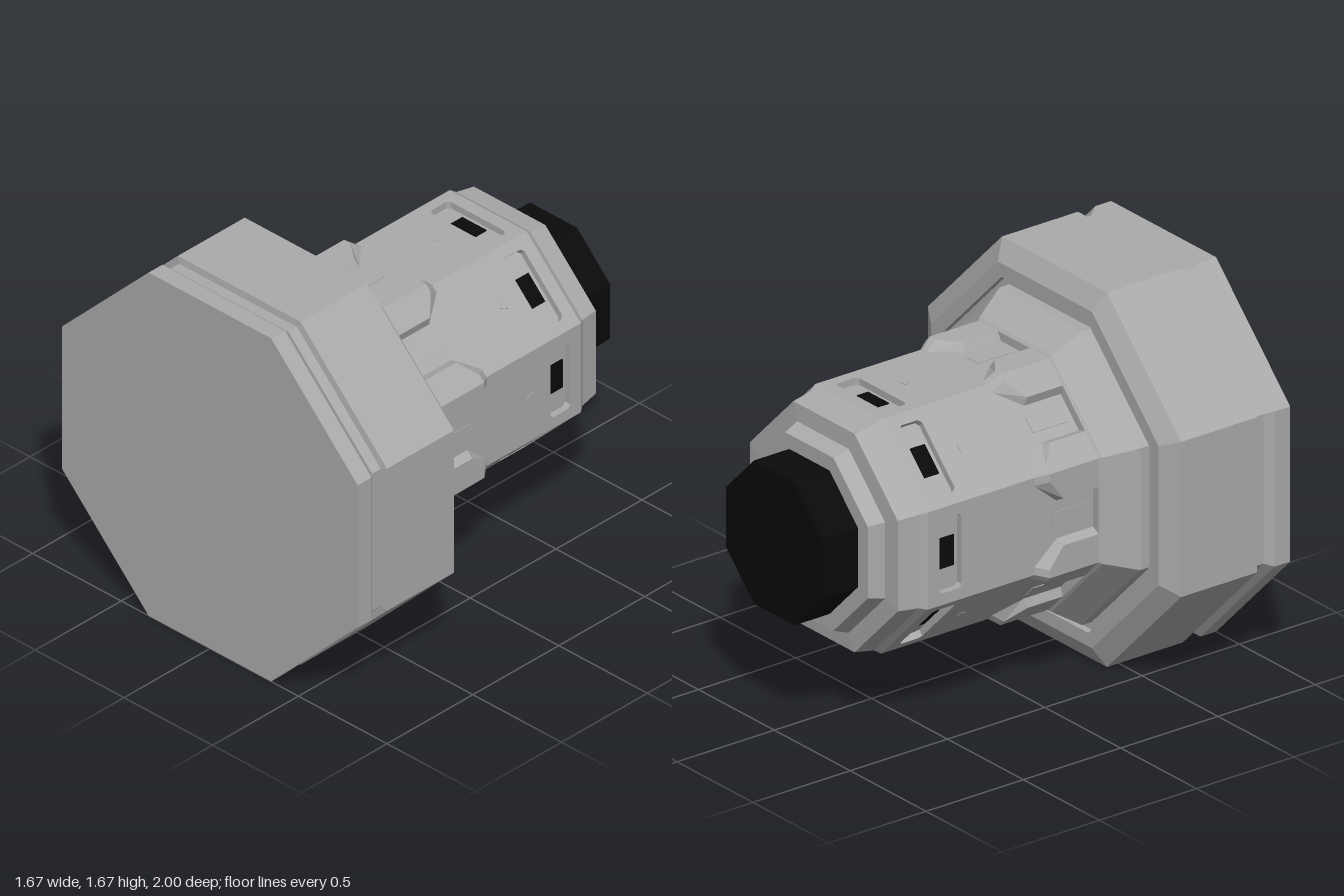
import * as THREE from 'three';

const T = Math.tan(Math.PI / 8);

// Eight-sided flat-faced solid along z from [apothem, z] pairs, low z to high z
function octagonSolid(profile) {
  const pts = profile.map(([a, z]) => new THREE.Vector2(a / Math.cos(Math.PI / 8), z));
  const geo = new THREE.LatheGeometry(pts, 8, Math.PI / 8).rotateX(Math.PI / 2).toNonIndexed();
  geo.computeVertexNormals();
  return geo;
}

function trace(path, pts) {
  pts.forEach(([x, y], i) => (i ? path.lineTo(x, y) : path.moveTo(x, y)));
  path.closePath();
  return path;
}

// Shape drawn in (x, z), laid flat with its outer face at the given height
function plate(shape, top, depth) {
  return new THREE.ExtrudeGeometry(shape, { depth, bevelEnabled: false, curveSegments: 4 })
    .rotateX(Math.PI / 2).translate(0, top, 0);
}

function rect(w, z0, z1) {
  return trace(new THREE.Shape(), [[-w, z0], [w, z0], [w, z1], [-w, z1]]);
}

// Window opening with chamfered corners
function windowHole() {
  const w = 0.165, z0 = -0.56, z1 = -0.445, c = 0.015;
  return trace(new THREE.Path(), [[-w + c, z0], [w - c, z0], [w, z0 + c], [w, z1 - c],
    [w - c, z1], [-w + c, z1], [-w, z1 - c], [-w, z0 + c]]);
}

// Bevelled snout folded over one corner of the barrel
function braceGeometry() {
  const mirror = ([x, y, z]) => [(y - x) * Math.SQRT1_2, (x + y) * Math.SQRT1_2, z];
  const outline = (a, wing, tip) => {
    const half = wing.map(([t, z]) => [t, a, z]);
    return [...half, [a * T, a, tip], ...half.map(mirror).reverse()];
  };
  const low = outline(0.52, [[0.083, 0.24], [0.083, 0.04], [0.18, -0.075]], -0.075);
  const up = outline(0.56, [[0.105, 0.24], [0.105, 0.05], [0.197, -0.02]], -0.02);
  const back = [0.56 * T, 0.56, 0.24];
  const pos = [];
  for (let i = 0; i < low.length - 1; i++) {
    pos.push(...low[i], ...up[i], ...low[i + 1], ...up[i], ...up[i + 1], ...low[i + 1]);
    pos.push(...back, ...up[i + 1], ...up[i]);
  }
  const geo = new THREE.BufferGeometry();
  geo.setAttribute('position', new THREE.Float32BufferAttribute(pos, 3));
  geo.computeVertexNormals();
  return geo;
}

export function createModel() {
  const metal = new THREE.MeshStandardMaterial({ color: 0xaaaaaa });
  metal.name = 'grey metal';
  const black = new THREE.MeshStandardMaterial({ color: 0x0a0a0a });
  black.name = 'black';

  const model = new THREE.Group();
  model.name = 'octagonalModule';
  model.position.y = 0.843;
  const add = (parent, name, geo, mat) => {
    const mesh = new THREE.Mesh(geo, mat);
    mesh.name = name;
    parent.add(mesh);
  };

  // Stepped end collar and the barrel core behind the wall panels
  add(model, 'barrelCore', octagonSolid([[0, -0.82], [0.385, -0.82], [0.41, -0.75], [0.487, -0.745],
    [0.503, -0.65], [0.523, -0.62], [0.493, -0.62], [0.493, 0.3], [0, 0.3]]), metal);

  // Wide front flange with its shoulder and grooves
  add(model, 'frontFlange', octagonSolid([[0, 0.23], [0.56, 0.23], [0.572, 0.24], [0.655, 0.37],
    [0.655, 0.42], [0.69, 0.42], [0.69, 0.39], [0.75, 0.39], [0.835, 0.44], [0.835, 0.83],
    [0.805, 0.835], [0.805, 0.885], [0.835, 0.92], [0.835, 1], [0, 1]]), metal);

  // Dark cap at the rear end
  add(model, 'rearCap', octagonSolid([[0, -1], [0.32, -1], [0.32, -0.8], [0, -0.8]]), black);

  // Wall panel with recessed window, light and marks
  const panel = rect(0.523 * T, -0.62, 0.24);
  panel.holes.push(windowHole());
  const panelGeo = plate(panel, 0.523, 0.031);
  const lightGeo = plate(rect(0.068, -0.54, -0.465), 0.499, 0.007);
  const labelGeo = plate(rect(0.036, 0.02, 0.205), 0.526, 0.005);
  const arrow = trace(new THREE.Shape(), [[-0.02, -0.34], [0.02, -0.34], [0, -0.305]]);
  const arrowGeo = plate(arrow, 0.526, 0.005);
  const braceGeo = braceGeometry();

  for (let k = 0; k < 8; k++) {
    const side = new THREE.Group();
    side.name = 'barrelSide' + (k + 1);
    side.rotation.z = k * Math.PI / 4;
    add(side, 'wallPanel', panelGeo, metal);
    add(side, 'windowLight', lightGeo, black);
    add(side, 'labelPlate', labelGeo, metal);
    add(side, 'arrowMark', arrowGeo, metal);
    add(side, 'cornerBrace', braceGeo, metal);
    model.add(side);
  }

  const root = new THREE.Group();
  root.name = 'model';
  root.add(model);
  return root;
}
